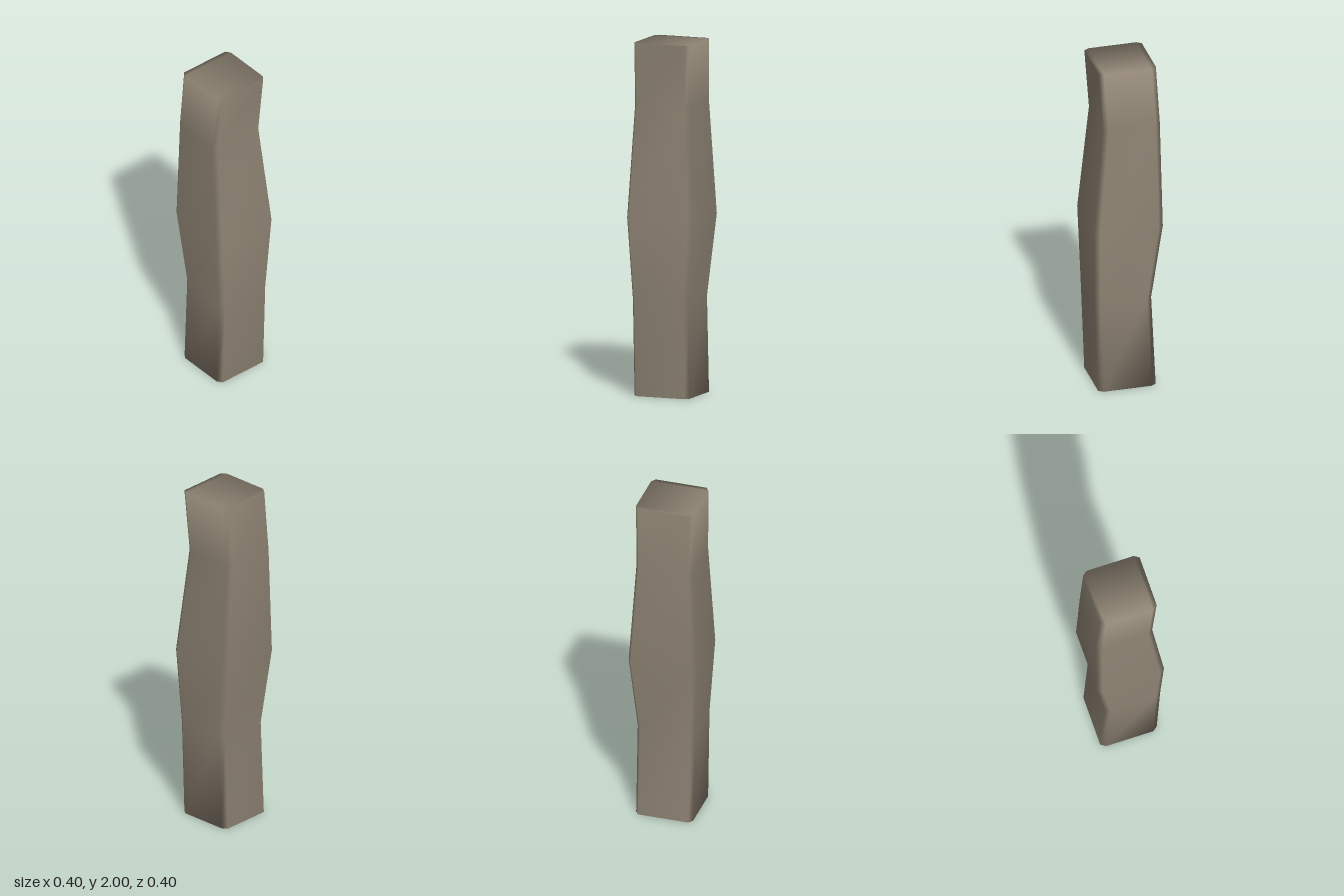
import * as THREE from 'three';

// Cross-sections from bottom to top: y, left x, right x, back z, front z
const SECTIONS = [
  [0.0, -0.168, 0.166, -0.166, 0.168],
  [0.55, -0.17, 0.165, -0.14, 0.188],
  [1.01, -0.2, 0.2, -0.198, 0.2],
  [1.64, -0.178, 0.155, -0.193, 0.138],
  [2.0, -0.17, 0.167, -0.167, 0.167],
];
const CUT_X = 0.02; // corner bevel sizes
const CUT_Z = 0.028;

// Beam with bevelled corners, shared vertices give smooth shading
function beamGeometry() {
  const points = [];
  const index = [];
  const quad = (a, b, c, d) => index.push(a, b, c, a, c, d);

  for (const [y, x0, x1, z0, z1] of SECTIONS) {
    const ring = [
      [x1 - CUT_X, z1], [x1, z1 - CUT_Z], [x1, z0 + CUT_Z], [x1 - CUT_X, z0],
      [x0 + CUT_X, z0], [x0, z0 + CUT_Z], [x0, z1 - CUT_Z], [x0 + CUT_X, z1],
    ];
    for (const [x, z] of ring) points.push(x, y, z);
  }

  // Sides
  for (let s = 0; s < SECTIONS.length - 1; s++) {
    for (let i = 0; i < 8; i++) {
      const a = s * 8 + i;
      const b = s * 8 + ((i + 1) % 8);
      quad(a, b, b + 8, a + 8);
    }
  }

  // End caps, three strips each
  const top = (SECTIONS.length - 1) * 8;
  for (const [a, b, c, d] of [[7, 0, 1, 6], [6, 1, 2, 5], [5, 2, 3, 4]]) {
    quad(top + a, top + d, top + c, top + b);
    quad(a, b, c, d);
  }

  // Cap strips run front to back: flip them to face outwards
  const capStart = (SECTIONS.length - 1) * 8 * 6;
  const ax = new THREE.Vector3(), bx = new THREE.Vector3(), cx = new THREE.Vector3();
  for (let i = capStart; i < index.length; i += 3) {
    ax.fromArray(points, index[i] * 3);
    bx.fromArray(points, index[i + 1] * 3).sub(ax);
    cx.fromArray(points, index[i + 2] * 3).sub(ax);
    const up = bx.cross(cx).y > 0;
    if (up !== ax.y > 1) [index[i + 1], index[i + 2]] = [index[i + 2], index[i + 1]];
  }

  const geometry = new THREE.BufferGeometry();
  geometry.setAttribute('position', new THREE.Float32BufferAttribute(points, 3));
  geometry.setIndex(index);
  geometry.computeVertexNormals();
  return geometry;
}

export function createModel() {
  const group = new THREE.Group();
  group.name = 'pillar';
  const stone = new THREE.MeshStandardMaterial({ color: 0x8f8474 });
  stone.name = 'warm grey stone';
  const beam = new THREE.Mesh(beamGeometry(), stone);
  beam.name = 'beam';
  group.add(beam);
  return group;
}
